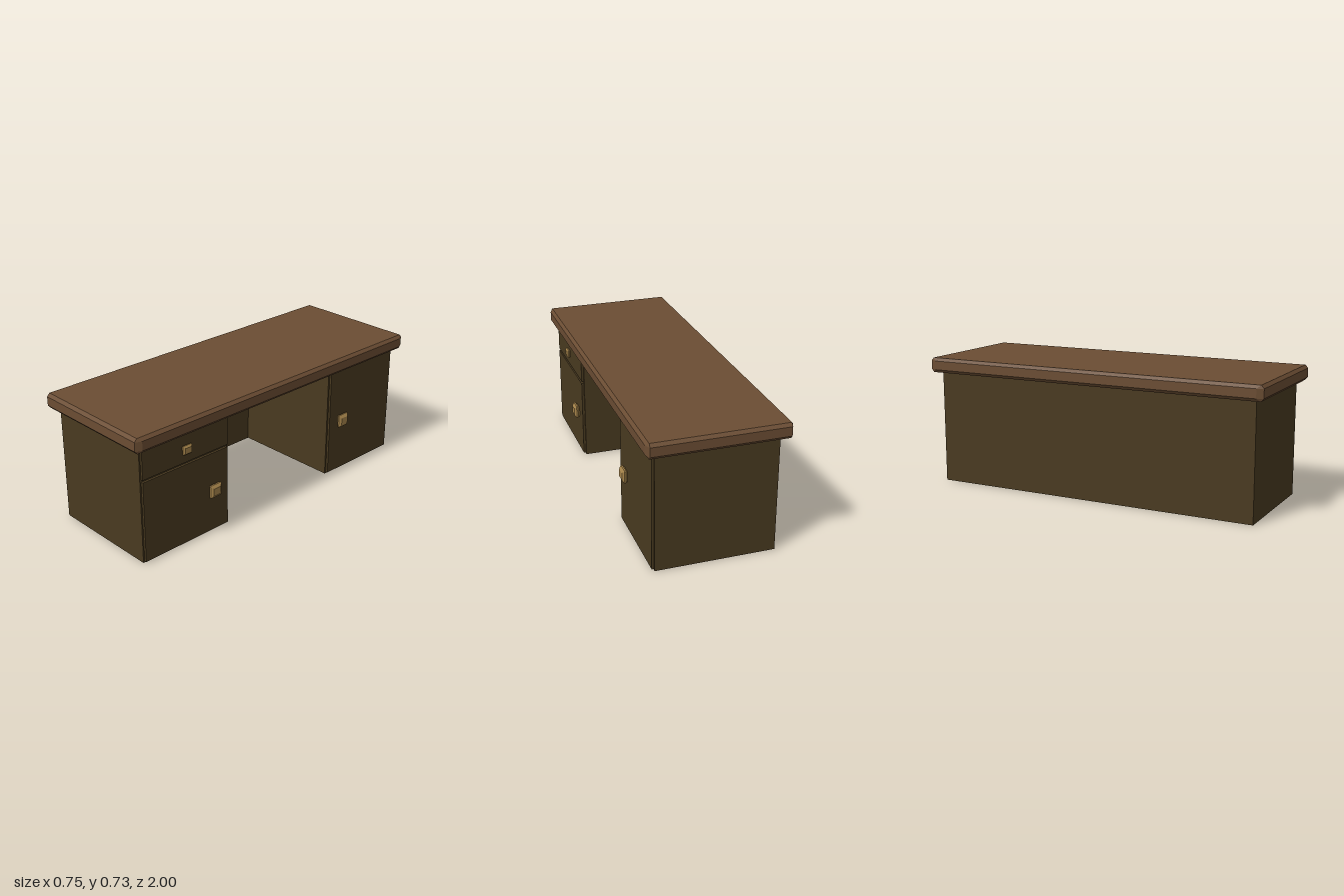
import * as THREE from 'three';

const topWood = new THREE.MeshStandardMaterial({ color: 0x6b4d33, flatShading: true });
const bodyWood = new THREE.MeshStandardMaterial({ color: 0x493a20, side: THREE.DoubleSide });
const brass = new THREE.MeshStandardMaterial({ color: 0xa5834a, flatShading: true });

// Capped solid lofted upward through rectangles with cut corners: [y, halfX, halfZ, cutX, cutZ]
function loft(sections) {
  const rings = sections.map(([y, hx, hz, cx = 0, cz = 0]) => [
    [hx, hz - cz], [hx, cz - hz], [hx - cx, -hz], [cx - hx, -hz],
    [-hx, cz - hz], [-hx, hz - cz], [cx - hx, hz], [hx - cx, hz],
  ].map(([x, z]) => [x, y, z]));
  const pos = [];
  const tri = (...pts) => pts.forEach((p) => pos.push(...p));
  for (let r = 0; r < rings.length - 1; r++) {
    for (let i = 0; i < 8; i++) {
      const j = (i + 1) % 8;
      tri(rings[r][i], rings[r][j], rings[r + 1][j]);
      tri(rings[r][i], rings[r + 1][j], rings[r + 1][i]);
    }
  }
  const bottom = rings[0], top = rings[rings.length - 1];
  for (let i = 1; i < 7; i++) {
    tri(top[0], top[i], top[i + 1]);
    tri(bottom[0], bottom[i + 1], bottom[i]);
  }
  const g = new THREE.BufferGeometry();
  g.setAttribute('position', new THREE.Float32BufferAttribute(pos, 3));
  g.computeVertexNormals();
  return g;
}

export function createModel() {
  const desk = new THREE.Group();
  desk.name = 'desk';
  const add = (name, geometry, material, x, y, z) => {
    const mesh = new THREE.Mesh(geometry, material);
    mesh.name = name;
    mesh.position.set(x, y, z);
    desk.add(mesh);
    return mesh;
  };

  // Bevelled table top
  add('tableTop', loft([
    [0.645, 0.36, 0.985],
    [0.662, 0.375, 1, 0.015, 0.035],
    [0.712, 0.375, 1, 0.015, 0.035],
    [0.729, 0.36, 0.985],
  ]), topWood, 0, 0, 0);

  // Thin body walls, open underneath
  const H = 0.645, X = 0.322, Z = 0.95;
  const wallAlongZ = (name, x, z0, z1) => {
    const g = new THREE.PlaneGeometry(z1 - z0, H).rotateY(Math.sign(x) * Math.PI / 2);
    add(name, g, bodyWood, x, H / 2, (z0 + z1) / 2);
  };
  const wallAlongX = (name, z, facing) => {
    const g = new THREE.PlaneGeometry(2 * X, H);
    if (facing < 0) g.rotateY(Math.PI);
    add(name, g, bodyWood, 0, H / 2, z);
  };
  wallAlongZ('backPanel', -X, -Z, Z);
  for (const [label, inner, side] of [['drawerPedestal', 0.37, 1], ['doorPedestal', -0.41, -1]]) {
    wallAlongX(label + 'OuterWall', side * Z, side);
    wallAlongX(label + 'InnerWall', inner, -side);
    wallAlongZ(label + 'Face', X, Math.min(inner, side * Z), Math.max(inner, side * Z));
  }

  // Raised drawer and door fronts
  const front = (name, y0, y1, z0, z1) =>
    add(name, new THREE.BoxGeometry(0.013, y1 - y0, z1 - z0), bodyWood, X + 0.0065, (y0 + y1) / 2, (z0 + z1) / 2);
  front('drawerFront', 0.476, 0.639, 0.38, 0.942);
  front('cupboardDoor', 0.008, 0.462, 0.38, 0.942);
  front('tallDoor', 0.008, 0.639, -0.942, -0.42);

  // Square knobs, widest in the middle
  const knob = (name, y, z, height, width, depth) => {
    const a = height / 2, b = width / 2;
    const g = loft([
      [0, a * 0.67, b * 0.7],
      [depth * 0.4, a, b, a * 0.12, b * 0.12],
      [depth * 0.66, a, b, a * 0.12, b * 0.12],
      [depth, a * 0.55, b * 0.65],
    ]);
    add(name, g, brass, 0.333, y, z).rotation.z = -Math.PI / 2;
  };
  knob('drawerKnob', 0.552, 0.663, 0.05, 0.06, 0.023);
  knob('cupboardKnob', 0.25, 0.481, 0.075, 0.075, 0.034);
  knob('tallDoorKnob', 0.325, -0.517, 0.075, 0.075, 0.032);

  return desk;
}
